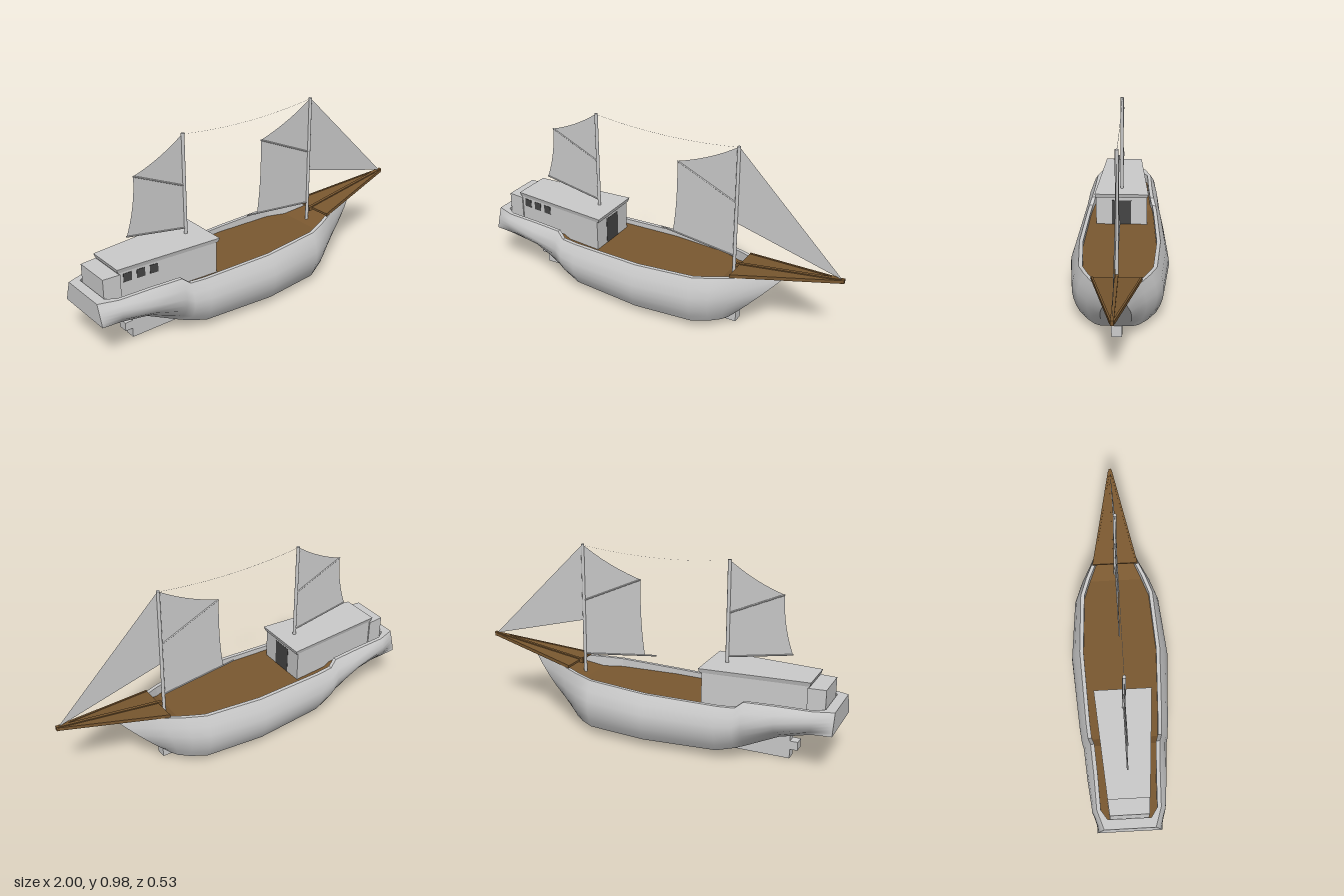
import * as THREE from 'three';

const mat = (color) => new THREE.MeshStandardMaterial({ color, side: THREE.DoubleSide });
const GREY = mat(0xcccccc), WOOD = mat(0x7a5830), DARK = mat(0x444444);

// Hull stations: x at bottom, x at top, y bottom, y top, half-width bottom / bilge / top
const STATIONS = [
  [-1, -1, .22, .33, .166, .151, .13],
  [-.9, -.9, .213, .33, .165, .188, .163],
  [-.72, -.72, .135, .328, .085, .196, .17],
  [-.56, -.56, .08, .325, .15, .215, .18],
  [-.52, -.52, .07, .292, .17, .226, .193],
  [-.43, -.43, .05, .288, .195, .238, .2],
  [-.04, -.04, .045, .292, .225, .265, .217],
  [.28, .28, .045, .307, .195, .234, .198],
  [.36, .38, .047, .316, .15, .198, .163],
  [.41, .5, .05, .328, .11, .147, .11],
  [.435, .6, .056, .343, .08, .112, .068],
  [.45, .71, .065, .355, .06, .076, .035],
];

// Skin between rows of [x, y, z] points
function loft(rows, flat = false) {
  const n = rows[0].length, index = [];
  for (let i = 0; i < rows.length - 1; i++)
    for (let j = 0; j < n - 1; j++) {
      const a = i * n + j, b = a + n;
      index.push(a, b, b + 1, a, b + 1, a + 1);
    }
  let g = new THREE.BufferGeometry();
  g.setAttribute('position', new THREE.Float32BufferAttribute(rows.flat(2), 3));
  g.setIndex(index);
  if (flat) g = g.toNonIndexed();
  g.computeVertexNormals();
  return g;
}

// Rounded hull side of one station, from bottom edge to gunwale
function sidePoints([xb, xt, yb, yt, wb, wm, wt], side) {
  const m = .45;
  return [0, .15, .3, .45, .6, .8, 1].map((t) => {
    const w = wb * (t - m) * (t - 1) / m + wm * t * (t - 1) / (m * (m - 1)) + wt * t * (t - m) / (1 - m);
    return [xb + (xt - xb) * t, yb + (yt - yb) * t, side * w];
  });
}

// Gunwale of one station: outer edge, inner edge, foot of the bulwark at deck level
function rimPoints([, x, , y, , , w], side) {
  const inX = Math.min(Math.max(x, -.95), .66), inW = side * Math.max(w - .02, .02);
  const deckY = x < -.53 ? .28 : x < .45 ? .262 : y - .025;
  return [[x, y, side * w], [inX, y, inW], [inX, deckY, inW]];
}

// Box whose half-depth runs from w0 (aft) to w1 (forward); the lower rim is drawn in by inset
function taperBox(x0, x1, y0, y1, w0, w1, inset = 0) {
  const g = new THREE.BoxGeometry(1, 1, 1).toNonIndexed(), p = g.attributes.position;
  for (let i = 0; i < p.count; i++) {
    const fore = p.getX(i) > 0, up = p.getY(i) > 0, d = up ? 0 : inset;
    p.setXYZ(i, fore ? x1 - d : x0 + d, up ? y1 : y0, Math.sign(p.getZ(i)) * ((fore ? w1 : w0) - d));
  }
  g.computeVertexNormals();
  return g;
}

// Round spar between two points in the centre plane
function spar(x0, y0, x1, y1, r) {
  const dx = x1 - x0, dy = y1 - y0;
  const g = new THREE.CylinderGeometry(r, r, Math.hypot(dx, dy), 10);
  g.rotateZ(Math.atan2(dy, dx) - Math.PI / 2);
  return g.translate((x0 + x1) / 2, (y0 + y1) / 2, 0);
}

export function createModel() {
  const model = new THREE.Group();
  const add = (name, geometry, material = GREY, parent = model) => {
    const mesh = new THREE.Mesh(geometry, material);
    mesh.name = name;
    parent.add(mesh);
    return mesh;
  };

  // Hull shell
  const hull = new THREE.Group();
  hull.name = 'hull';
  model.add(hull);
  const first = STATIONS[0], last = STATIONS[STATIONS.length - 1];
  for (const s of [1, -1]) {
    const orient = (rows) => (s > 0 ? rows : rows.map((row) => row.reverse()));
    add('hullSide', loft(orient(STATIONS.map((st) => sidePoints(st, s)))), GREY, hull);
    add('bulwark', loft(orient(STATIONS.map((st) => rimPoints(st, s))), true), GREY, hull);
  }
  add('hullBottom', loft(STATIONS.map(([x, , y, , w]) => [[x, y, -w], [x, y, w]]), true), GREY, hull);
  add('transom', loft([sidePoints(first, -1), sidePoints(first, 1)], true), GREY, hull);
  add('stem', loft([sidePoints(last, 1), sidePoints(last, -1)], true), GREY, hull);
  add('sternRail', loft([rimPoints(first, 1), rimPoints(first, -1)].reverse(), true), GREY, hull);
  add('bowRail', loft([rimPoints(last, 1), rimPoints(last, -1)], true), GREY, hull);

  // Deck, slightly higher aft and rising into the bow
  add('deck', loft(STATIONS.map((st) => [rimPoints(st, 1)[2], rimPoints(st, -1)[2]]), true), WOOD);

  // Keel with rudder stub
  const keel = new THREE.Shape([
    [-.76, 0], [.45, 0], [.45, .066], [-.43, .06], [-.6, .1], [-.76, .155],
    [-.76, .095], [-.8, .095], [-.8, .05], [-.76, .05],
  ].map(([x, y]) => new THREE.Vector2(x, y)));
  add('keel', new THREE.ExtrudeGeometry(keel, { depth: .054, bevelEnabled: false }).translate(0, 0, -.027));

  // Deckhouse, with windows along its left side only
  const house = new THREE.Group();
  house.name = 'deckhouse';
  model.add(house);
  add('cabin', taperBox(-.86, -.325, .255, .432, .1, .143), GREY, house);
  add('cabinRoof', taperBox(-.87, -.308, .428, .45, .106, .15, .006), GREY, house);
  add('aftLocker', taperBox(-.945, -.855, .27, .422, .099, .107), GREY, house);
  add('door', new THREE.BoxGeometry(.004, .145, .108).translate(-.326, .335, 0), DARK, house);
  const slope = .043 / .535;
  for (const x of [-.815, -.745, -.675]) {
    const pane = add('window', new THREE.BoxGeometry(.044, .045, .004), DARK, house);
    pane.position.set(x, .396, .1 + (x + .86) * slope);
    pane.rotation.y = -Math.atan(slope);
  }

  // Bowsprit platform: raked triangular planking on a centre beam with edge rails
  const bow = new THREE.Group();
  bow.name = 'bowsprit';
  model.add(bow);
  const rake = (g) => {
    const p = g.attributes.position;
    for (let i = 0; i < p.count; i++) p.setY(i, p.getY(i) + (p.getX(i) - .45) * .145);
    g.computeVertexNormals();
    return g;
  };
  add('platform', rake(taperBox(.45, .99, .325, .337, .122, .008)), WOOD, bow);
  add('centreBeam', rake(taperBox(.43, 1, .32, .343, .008, .008)), WOOD, bow);
  for (const s of [1, -1]) {
    const rail = taperBox(.45, .99, .322, .34, .005, .005), p = rail.attributes.position;
    for (let i = 0; i < p.count; i++) p.setZ(i, p.getZ(i) + s * (p.getX(i) < .7 ? .12 : .006));
    add('edgeRail', rake(rail), WOOD, bow);
  }

  // Masts, each with boom, gaff and a sail whose top and trailing edges curve inward
  const rigs = [
    { name: 'aftRig', x: -.405, base: .44, peak: [-.69, .835], gaff: .708, clew: [-.745, .538], boom: [-.745, .54], foot: .48,
      top: [-.54, .88], leech: [-.69, .68] },
    { name: 'foreRig', x: .417, base: .255, peak: [.08, .825], gaff: .675, clew: [.055, .416], boom: [-.01, .425], foot: .375,
      top: [.27, .88], leech: [.083, .58] },
  ];
  for (const r of rigs) {
    const rig = new THREE.Group();
    rig.name = r.name;
    model.add(rig);
    add('mast', spar(r.x, r.base, r.x, .98, .009), GREY, rig);
    add('boom', spar(...r.boom, r.x, r.foot, .004), GREY, rig);
    add('gaff', spar(...r.peak, r.x, r.gaff, .004), GREY, rig);
    const sail = new THREE.Shape();
    sail.moveTo(r.x, .978);
    sail.quadraticCurveTo(...r.top, ...r.peak);
    sail.quadraticCurveTo(...r.leech, ...r.clew);
    sail.lineTo(r.x, r.foot);
    add('sail', new THREE.ShapeGeometry(sail, 16), GREY, rig);
  }

  // Headsail
  const jib = new THREE.Shape([[.422, .975], [.422, .565], [.99, .415]].map(([x, y]) => new THREE.Vector2(x, y)));
  add('headsail', new THREE.ShapeGeometry(jib));

  // Slack stay between the mast tops, a thin flat ribbon
  const stay = new THREE.QuadraticBezierCurve(
    new THREE.Vector2(-.405, .975), new THREE.Vector2(0, .92), new THREE.Vector2(.417, .975));
  add('stay', loft(stay.getPoints(24).map(({ x, y }) => [[x, y, .001], [x, y, -.001]])));

  return model;
}
